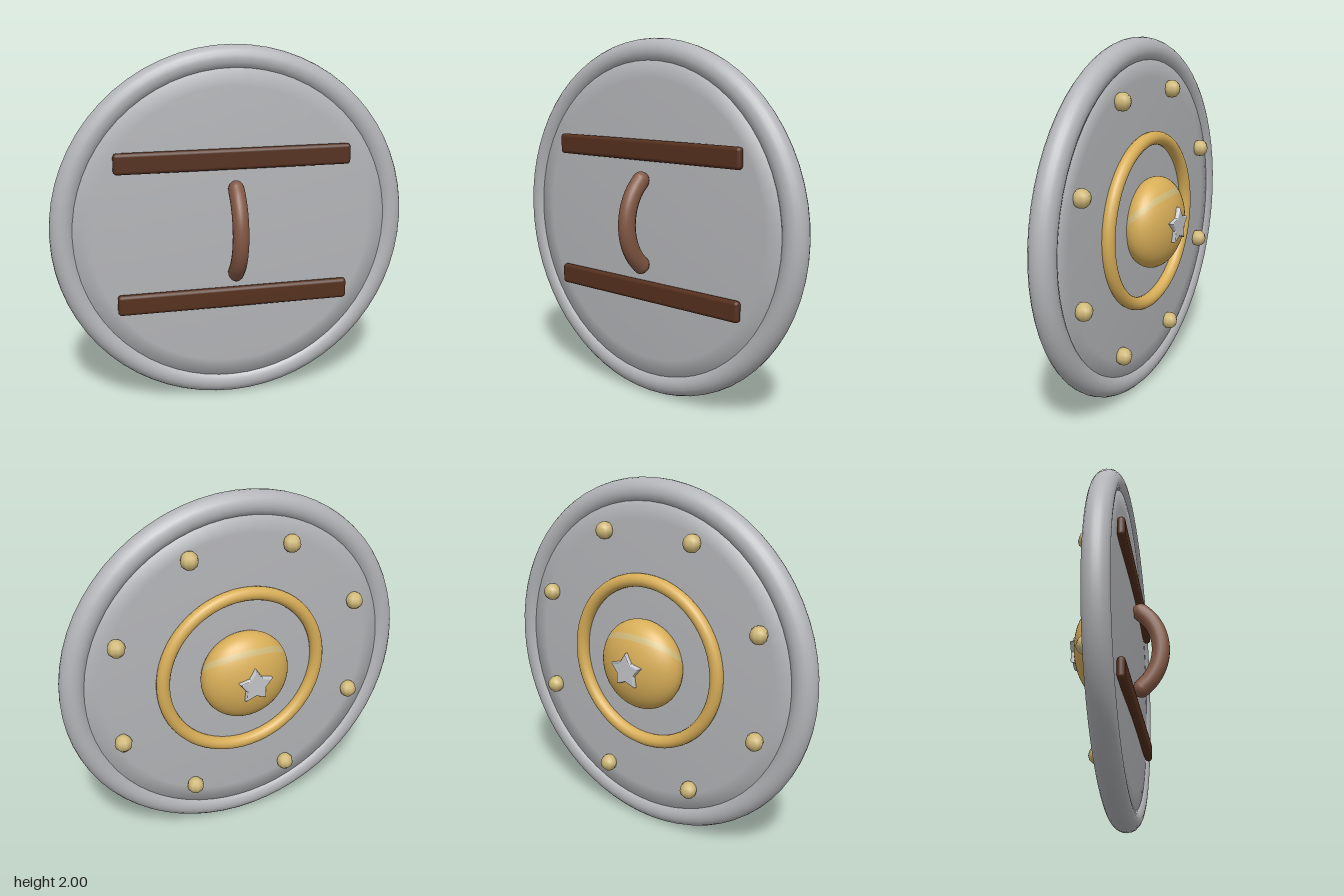
import * as THREE from 'three';
import { RoundedBoxGeometry } from 'three/addons/geometries/RoundedBoxGeometry.js';

const material = (name, color) => {
  const m = new THREE.MeshStandardMaterial({ color });
  m.name = name;
  return m;
};

export function createModel() {
  const steel = material('steel', 0xb4b5b8);
  const gold = material('gold', 0xd8ae58);
  const paleGold = material('pale gold', 0xcfb878);
  const silver = material('silver', 0xc3c5ca);
  const leather = material('leather', 0x835844);
  const darkLeather = material('dark leather', 0x55301e);

  const model = new THREE.Group();
  model.name = 'shield';
  const body = new THREE.Group(); // origin at the middle of the shield
  body.name = 'shieldBody';
  body.position.y = 1;
  model.add(body);

  const add = (name, geometry, mat, x = 0, y = 0, z = 0, parent = body) => {
    const mesh = new THREE.Mesh(geometry, mat);
    mesh.name = name;
    mesh.position.set(x, y, z);
    parent.add(mesh);
    return mesh;
  };

  // Rim and gently domed plate
  add('rim', new THREE.TorusGeometry(0.93, 0.07, 20, 64), steel);
  const profile = [];
  for (let i = 0; i <= 16; i++) {
    const t = -1 + i / 8;
    const r = 0.9 * (1 - Math.abs(t));
    const z = 0.048 + 0.027 * (1 - (r / 0.9) ** 2);
    if (i === 8) profile.push(new THREE.Vector2(0.9, -0.048), new THREE.Vector2(0.9, 0.048));
    else profile.push(new THREE.Vector2(r, Math.sign(t) * z));
  }
  add('plate', new THREE.LatheGeometry(profile, 64).rotateX(Math.PI / 2), steel);

  // Gold ring on the outer face
  add('ring', new THREE.TorusGeometry(0.463, 0.037, 16, 64), gold, 0, 0, -0.088);

  // Central boss, split so a pale band crosses its upper half
  const boss = new THREE.Group();
  boss.name = 'boss';
  boss.position.z = -0.122;
  body.add(boss);
  const bandTop = Math.acos(0.4), bandBottom = Math.acos(0.24);
  const slices = [
    ['bossTop', 0, bandTop, gold],
    ['bossBand', bandTop, bandBottom, paleGold],
    ['bossBottom', bandBottom, Math.PI, gold],
  ];
  for (const [name, from, to, mat] of slices) {
    const slice = new THREE.SphereGeometry(1, 48, name === 'bossBand' ? 3 : 20, 0, Math.PI * 2, from, to - from);
    slice.rotateX(0.46).scale(0.255, 0.255, 0.142);
    add(name, slice, mat, 0, 0, 0, boss);
  }

  // Raised five-pointed star on the boss
  const star = new THREE.Shape();
  for (let i = 0; i < 10; i++) {
    const a = Math.PI / 2 + (i * Math.PI) / 5;
    const r = i % 2 ? 0.05 : 0.088;
    star[i ? 'lineTo' : 'moveTo'](r * Math.cos(a), r * Math.sin(a));
  }
  star.closePath();
  const starGeometry = new THREE.ExtrudeGeometry(star, {
    depth: 0.025, bevelEnabled: true, bevelThickness: 0.014, bevelSize: 0.01, bevelSegments: 3,
  });
  add('star', starGeometry.rotateY(Math.PI), silver, 0, 0, -0.239);

  // Eight studs around the outer face
  const studGeometry = new THREE.SphereGeometry(0.05, 8, 6);
  for (let i = 0; i < 8; i++) {
    const a = ((i + 0.5) * Math.PI) / 4;
    add('stud', studGeometry, paleGold, 0.757 * Math.cos(a), 0.757 * Math.sin(a), -0.08);
  }

  // Two arm straps on the inner face
  for (const y of [0.4, -0.388]) {
    add('strap', new RoundedBoxGeometry(1.312, 0.116, 0.044, 2, 0.02), darkLeather, 0, y, 0.081);
  }

  // Curved grip with rounded ends
  const grip = new THREE.Group();
  grip.name = 'grip';
  grip.scale.x = 0.88;
  body.add(grip);
  const R = 0.306, half = 0.876, offset = -0.085;
  const arc = [];
  for (let i = 0; i <= 8; i++) {
    const a = half * (i / 4 - 1);
    arc.push(new THREE.Vector3(0, R * Math.sin(a), offset + R * Math.cos(a)));
  }
  add('gripBar', new THREE.TubeGeometry(new THREE.CatmullRomCurve3(arc), 24, 0.051, 14), leather, 0, 0, 0, grip);
  for (const end of [arc[0], arc[8]]) {
    add('gripEnd', new THREE.SphereGeometry(0.051, 14, 10), leather, 0, end.y, end.z, grip);
  }

  return model;
}
